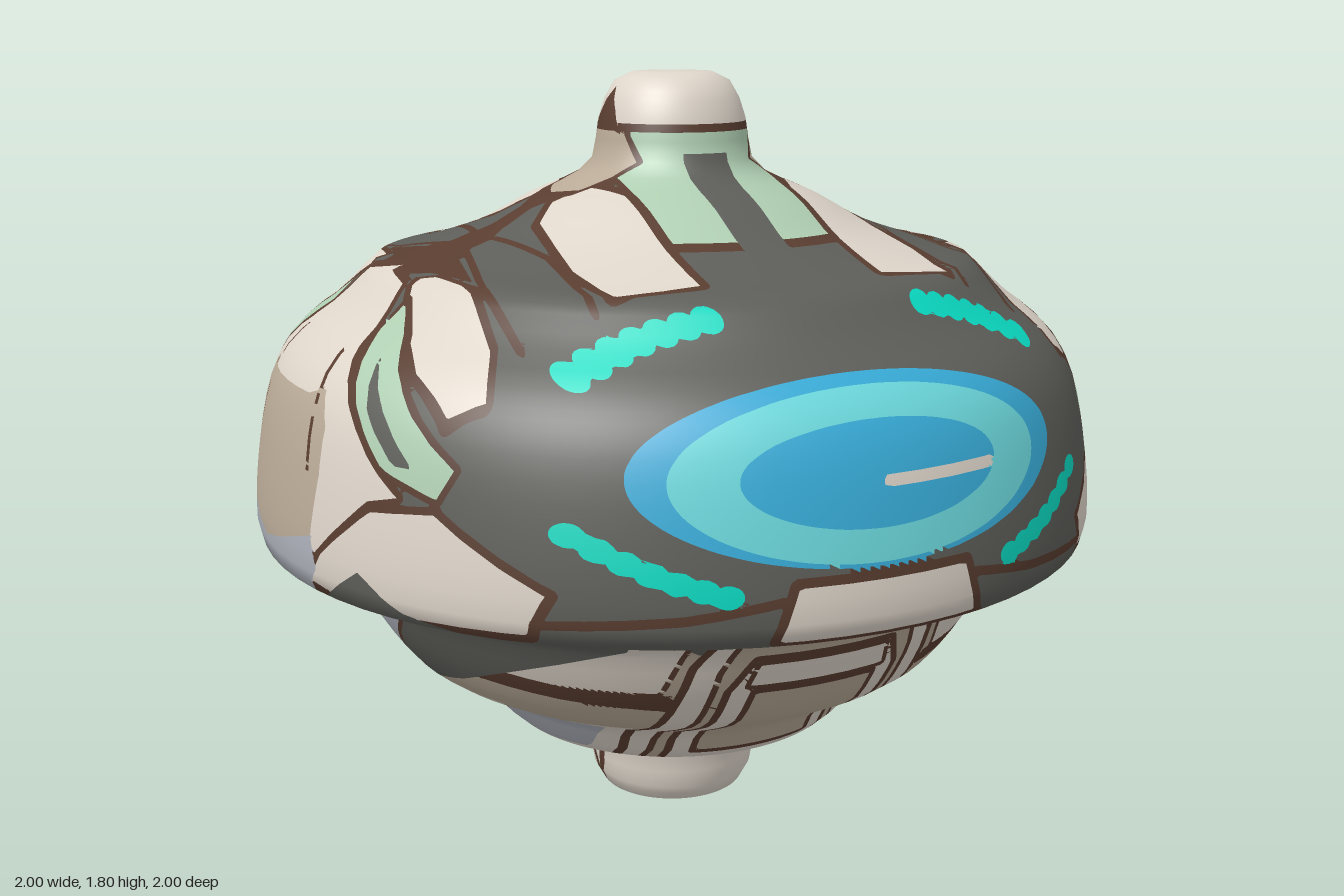
import * as THREE from 'three';

const mat = (name, color) => {
  const m = new THREE.MeshStandardMaterial({ color });
  m.name = name;
  return m;
};
const M = {
  dark: mat('dark grey', 0x5d5e59), brown: mat('seam brown', 0x593d30),
  cream: mat('cream', 0xded5ca), taupe: mat('taupe', 0xb9aa97),
  slate: mat('blue grey', 0xacb0b9), green: mat('pale green', 0xafceb2),
  blue: mat('blue', 0x38acd8), cyan: mat('cyan', 0x6cd9dd), teal: mat('teal', 0x0adac2),
};

// Turned body profile: radius, height
const PROFILE = [
  [0, 0], [0.06, 0], [0.115, 0.003], [0.13, 0.015], [0.185, 0.04], [0.203, 0.09], [0.212, 0.15], [0.222, 0.2],
  [0.3, 0.22], [0.4, 0.25], [0.455, 0.3], [0.485, 0.35], [0.58, 0.4], [0.665, 0.455], [0.74, 0.56], [0.78, 0.64],
  [0.825, 0.7], [0.9, 0.722], [0.98, 0.745], [0.996, 0.765], [0.997, 0.85], [0.985, 0.95], [0.964, 1.06],
  [0.938, 1.14], [0.905, 1.195], [0.86, 1.24], [0.79, 1.292], [0.73, 1.35], [0.703, 1.378], [0.64, 1.39],
  [0.47, 1.445], [0.34, 1.515], [0.225, 1.565], [0.183, 1.61], [0.178, 1.66], [0.167, 1.71], [0.143, 1.765],
  [0.11, 1.793], [0.05, 1.797], [0, 1.797],
];

// Paint layers, last one wins. Each lies in a plane: front (x,y), side (z,y) or top (x,z), mirrored.
const layers = [];
const PLANES = {
  front: (p) => [Math.abs(p.x), p.y],
  side: (p) => (Math.abs(p.x) > 0.42 ? [Math.abs(p.z), p.y] : null),
  hub: (p) => (Math.abs(p.x) > 0.08 ? [Math.abs(p.z), p.y] : null),
  top: (p) => (p.y > 1.13 ? [Math.abs(p.x), Math.abs(p.z)] : null),
};

function segDist(u, v, a, b) {
  const dx = b[0] - a[0], dy = b[1] - a[1];
  const t = Math.min(1, Math.max(0, ((u - a[0]) * dx + (v - a[1]) * dy) / (dx * dx + dy * dy)));
  return Math.hypot(u - a[0] - t * dx, v - a[1] - t * dy);
}

// Filled polygon with an optional brown seam round it
function panel(name, plane, color, pts, seam = 0) {
  const us = pts.map((p) => p[0]), vs = pts.map((p) => p[1]);
  const box = [Math.min(...us) - seam, Math.max(...us) + seam, Math.min(...vs) - seam, Math.max(...vs) + seam];
  layers.push((p) => {
    const q = PLANES[plane](p);
    if (!q || q[0] < box[0] || q[0] > box[1] || q[1] < box[2] || q[1] > box[3]) return null;
    let inside = false, d = 9;
    for (let i = 0, j = pts.length - 1; i < pts.length; j = i++) {
      const a = pts[i], b = pts[j];
      if ((a[1] > q[1]) !== (b[1] > q[1]) && q[0] < ((b[0] - a[0]) * (q[1] - a[1])) / (b[1] - a[1]) + a[0]) inside = !inside;
      if (seam && (a[0] > 0 || b[0] > 0)) d = Math.min(d, segDist(q[0], q[1], a, b));
    }
    return inside ? `${name}|${color}` : d < seam ? 'panelSeams|brown' : null;
  });
}

// Open brown stroke
function stroke(name, plane, pts, w) {
  layers.push((p) => {
    const q = PLANES[plane](p);
    if (!q) return null;
    for (let i = 1; i < pts.length; i++) if (segDist(q[0], q[1], pts[i - 1], pts[i]) < w) return `${name}|brown`;
    return null;
  });
}

function ellipse(name, color, cy, rx, ry) {
  layers.push((p) => ((p.x / rx) ** 2 + ((p.y - cy) / ry) ** 2 < 1 ? `${name}|${color}` : null));
}

function band(name, color, y0, y1) {
  layers.push((p) => (p.y >= y0 && p.y < y1 ? `${name}|${color}` : null));
}

// Lower bowl
band('lowerBowl', 'cream', 0.2, 0.44);
band('lowerBowl', 'taupe', 0.44, 0.66);
panel('bowlSidePatch', 'side', 'taupe', [[0.36, 0.46], [0.42, 0.38], [0.6, 0.36], [0.62, 0.46]]);
panel('bowlUpperPanel', 'front', 'cream', [[0.31, 0.71], [0.62, 0.7], [0.65, 0.56], [0.34, 0.55]], 0.012);
panel('bowlLowerPanel', 'front', 'taupe', [[0.31, 0.5], [0.6, 0.5], [0.55, 0.42], [0.46, 0.4], [0.3, 0.4]]);
panel('bowlSeam', 'front', 'brown', [[0.31, 0.545], [0.5, 0.55], [0.66, 0.575], [0.66, 0.53], [0.5, 0.51], [0.31, 0.495]]);
panel('bowlPatch', 'front', 'slate', [[0.34, 0.36], [0.46, 0.39], [0.6, 0.41], [0.52, 0.34], [0.42, 0.26], [0.34, 0.27]]);
band('rimUnderside', 'dark', 0.705, 0.75);

// Side flanks
panel('flankPanel', 'side', 'cream', [[0.77, 0.85], [0.58, 0.98], [0.44, 0.96], [0.3, 0.84], [0.25, 0.77], [0.36, 0.755], [0.74, 0.765]], 0.016);
panel('sideShield', 'side', 'cream', [[0, 1.385], [0.13, 1.365], [0.2, 1.25], [0.44, 1.04], [0.5, 1.0], [0.43, 0.98], [0.28, 0.84], [0.22, 0.74], [0, 0.7]], 0.014);
panel('sideBadge', 'side', 'taupe', [[0, 1.15], [0.15, 1.15], [0.21, 1.17], [0.26, 1.1], [0.27, 1.0], [0.26, 0.87], [0, 0.8]]);
panel('sideBadgeFoot', 'side', 'slate', [[0, 0.805], [0.12, 0.83], [0.26, 0.87], [0.28, 0.8], [0.22, 0.73], [0, 0.72]]);
stroke('sideCrease', 'side', [[0.15, 1.27], [0.19, 1.16], [0.22, 1.0]], 0.006);
panel('chevron', 'side', 'dark', [[0, 0.7], [0.26, 0.72], [0.42, 0.83], [0.52, 0.765], [0.8, 0.72], [0.56, 0.615], [0.28, 0.5], [0, 0.415]]);
panel('chevronInset', 'side', 'slate', [[0, 0.73], [0.2, 0.745], [0.29, 0.74], [0.25, 0.69], [0, 0.485]], 0.012);
panel('chevronInsetTop', 'side', 'slate', [[0, 0.79], [0.24, 0.79], [0.26, 0.745], [0.22, 0.71], [0, 0.7]]);
stroke('chevronPeak', 'side', [[0, 0.71], [0.05, 0.712]], 0.01);

// Top plates fanning out from the hub
panel('crownSeam', 'top', 'brown', [[0.1, 0], [0.14, 0.14], [0.21, 0.14], [0.37, 0.03], [0.44, 0.04], [0.5, 0.08], [0.57, 0.12], [0.6, 0.3], [0.64, 0.15], [0.69, 0.09], [0.665, 0]]);
panel('outerCrownStrip', 'top', 'dark', [[0.45, 0.58], [0.58, 0.55], [0.59, 0.36], [0.53, 0.07], [0.48, 0.07], [0.44, 0.3]], 0.016);
panel('crownPlate', 'top', 'cream', [[0.215, 0.59], [0.395, 0.57], [0.415, 0.4], [0.385, 0.13], [0.33, 0.07], [0.25, 0.09], [0.21, 0.2]], 0.02);
panel('outerCrownOpening', 'top', 'dark', [[0.43, 0.66], [0.6, 0.62], [0.575, 0.53], [0.455, 0.55]]);
panel('crownOuterPlate', 'top', 'cream', [[0.68, 0.595], [0.745, 0.55], [0.765, 0.42], [0.73, 0.24], [0.69, 0.165], [0.645, 0.19], [0.62, 0.34], [0.635, 0.5]], 0.016);
panel('shoulderStripe', 'side', 'green', [[0.2, 1.335], [0.42, 1.2], [0.6, 1.07], [0.58, 1.01], [0.45, 1.05], [0.34, 1.15], [0.2, 1.285]], 0.013);
panel('shoulderSlot', 'side', 'dark', [[0.29, 1.25], [0.4, 1.165], [0.52, 1.06], [0.475, 1.06], [0.37, 1.15]]);

// Hub
panel('hubStripe', 'front', 'green', [[0, 1.67], [0.19, 1.67], [0.19, 1.455], [0, 1.455]], 0.014);
panel('hubSlot', 'front', 'dark', [[0, 1.62], [0.055, 1.62], [0.055, 1.42], [0, 1.42]]);
panel('hubSide', 'hub', 'taupe', [[0, 1.7], [0.08, 1.66], [0.12, 1.6], [0.08, 1.54], [0, 1.53]], 0.012);
band('hubCap', 'cream', 1.685, 2);
band('hubSeam', 'brown', 1.667, 1.685);
panel('hubPeak', 'hub', 'brown', [[0, 1.765], [0.04, 1.71], [0.07, 1.66], [0, 1.685]]);

// Front and back eye
ellipse('eyeRim', 'blue', 1.07, 0.49, 0.178);
ellipse('eyeRing', 'cyan', 1.063, 0.42, 0.164);
ellipse('eyeCentre', 'blue', 1.067, 0.29, 0.102);
layers.push((p) => (p.x > 0 && p.x < 0.28 && Math.abs(p.y - 1.053) < 0.012 ? 'eyeGlint|cream' : null));

// Chin plate and hatch
stroke('rimSeam', 'front', [[0.22, 0.84], [0.4, 0.81], [0.64, 0.79]], 0.01);
panel('chinPlate', 'front', 'cream', [[0, 0.865], [0.19, 0.865], [0.225, 0.755], [0, 0.755]], 0.02);
panel('hatchSurround', 'front', 'cream', [[0, 0.73], [0.23, 0.73], [0.28, 0.62], [0.295, 0.45], [0.27, 0.22], [0, 0.22]], 0.018);
panel('chinUnderside', 'front', 'taupe', [[0, 0.73], [0.19, 0.73], [0.225, 0.6], [0.23, 0.22], [0, 0.22]], 0.014);
panel('hatchFrame', 'front', 'cream', [[0, 0.63], [0.16, 0.63], [0.195, 0.55], [0.19, 0.215], [0, 0.215]], 0.017);
panel('hatchLintel', 'front', 'cream', [[0, 0.62], [0.15, 0.62], [0.16, 0.565], [0, 0.565]], 0.012);
panel('hatchDoor', 'front', 'taupe', [[0, 0.54], [0.14, 0.54], [0.14, 0.29], [0, 0.29]], 0.015);

// Rows of beads round the eye
for (let i = 0; i < 7; i++) {
  const t = i / 6, bow = Math.sin(t * Math.PI);
  for (const c of [[0.25 + 0.28 * t, 1.343 - 0.095 * t + 0.012 * bow], [0.325 + 0.265 * t, 0.855 + 0.115 * t - 0.012 * bow]]) {
    layers.push((p) => (Math.hypot(Math.abs(p.x) - c[0], (p.y - c[1]) * 1.25) < 0.03 ? 'beads|teal' : null));
  }
}

// Foot
band('foot', 'cream', -1, 0.2);
panel('footSeam', 'hub', 'brown', [[0, 0.3], [0.035, 0.26], [0.09, 0.23], [0.06, 0.2], [0.03, 0.1], [0, 0.04], [0, 0.08], [0.03, 0.19], [0, 0.21]]);
layers.push((p) => (p.y < 0.028 && Math.hypot(p.x, p.z) > 0.115 ? 'footRing|brown' : null));

function paintAt(p) {
  for (let i = layers.length - 1; i >= 0; i--) {
    const hit = layers[i](p);
    if (hit) return hit;
  }
  return 'shell|dark';
}

const MAX_TRIANGLES = 145000;

// Cuts the turned surface along the paint edges, one bucket per painted part; null if too fine
function buildParts(segments) {
  const curve = new THREE.SplineCurve(PROFILE.map(([r, y]) => new THREE.Vector2(r, y)));
  const pts = curve.getSpacedPoints(64).map((p) => new THREE.Vector2(Math.max(0, p.x), Math.max(0, p.y)));
  const lathe = new THREE.LatheGeometry(pts, segments);
  const { position, normal } = lathe.attributes;
  const vertex = (p, n) => ({ p, n, key: paintAt(p) });
  const between = (a, b, t) => vertex(a.p.clone().lerp(b.p, t), a.n.clone().lerp(b.n, t).normalize());
  const parts = new Map();
  let count = 0;
  const emit = (key, ...corners) => {
    if (!parts.has(key)) parts.set(key, { pos: [], nor: [] });
    for (const v of corners) {
      parts.get(key).pos.push(...v.p.toArray());
      parts.get(key).nor.push(...v.n.toArray());
    }
    count++;
  };
  // Point on edge ab where the colour of a ends
  const edgeCut = (a, b) => {
    let lo = 0, hi = 1;
    for (let i = 0; i < 6; i++) {
      const t = (lo + hi) / 2;
      if (paintAt(a.p.clone().lerp(b.p, t)) === a.key) lo = t;
      else hi = t;
    }
    return between(a, b, (lo + hi) / 2);
  };
  const split = (a, b, c, depth) => {
    if (count > MAX_TRIANGLES) return;
    const ab = between(a, b, 0.5), bc = between(b, c, 0.5), ca = between(c, a, 0.5);
    const mixed = [b, c, ab, bc, ca].some((v) => v.key !== a.key);
    const odd = [[a, b, c], [b, c, a], [c, a, b]].find(([u, v, w]) => v.key === w.key && u.key !== v.key);
    if (depth === 0 || (mixed && (depth < 2 || (depth === 2 && !odd)))) {
      for (const t of [[a, ab, ca], [ab, b, bc], [ca, bc, c], [ab, bc, ca]]) split(...t, depth + 1);
    } else if (odd) {
      const [u, v, w] = odd, p = edgeCut(u, v), q = edgeCut(u, w);
      emit(u.key, u, p, q);
      emit(v.key, p, v, w);
      emit(v.key, p, w, q);
    } else emit(a.key, a, b, c);
  };
  const corner = (i) => vertex(new THREE.Vector3().fromBufferAttribute(position, i), new THREE.Vector3().fromBufferAttribute(normal, i));
  const idx = lathe.index.array;
  for (let i = 0; i < idx.length; i += 3) split(corner(idx[i]), corner(idx[i + 1]), corner(idx[i + 2]), 0);
  return count > MAX_TRIANGLES ? null : parts;
}

export function createModel() {
  const group = new THREE.Group();
  group.name = 'spinningTop';
  const parts = buildParts(72) ?? buildParts(60) ?? buildParts(50) ?? buildParts(40);
  for (const [key, part] of parts) {
    const [name, color] = key.split('|');
    const geo = new THREE.BufferGeometry();
    geo.setAttribute('position', new THREE.Float32BufferAttribute(part.pos, 3));
    geo.setAttribute('normal', new THREE.Float32BufferAttribute(part.nor, 3));
    const mesh = new THREE.Mesh(geo, M[color]);
    mesh.name = name;
    group.add(mesh);
  }
  return group;
}
